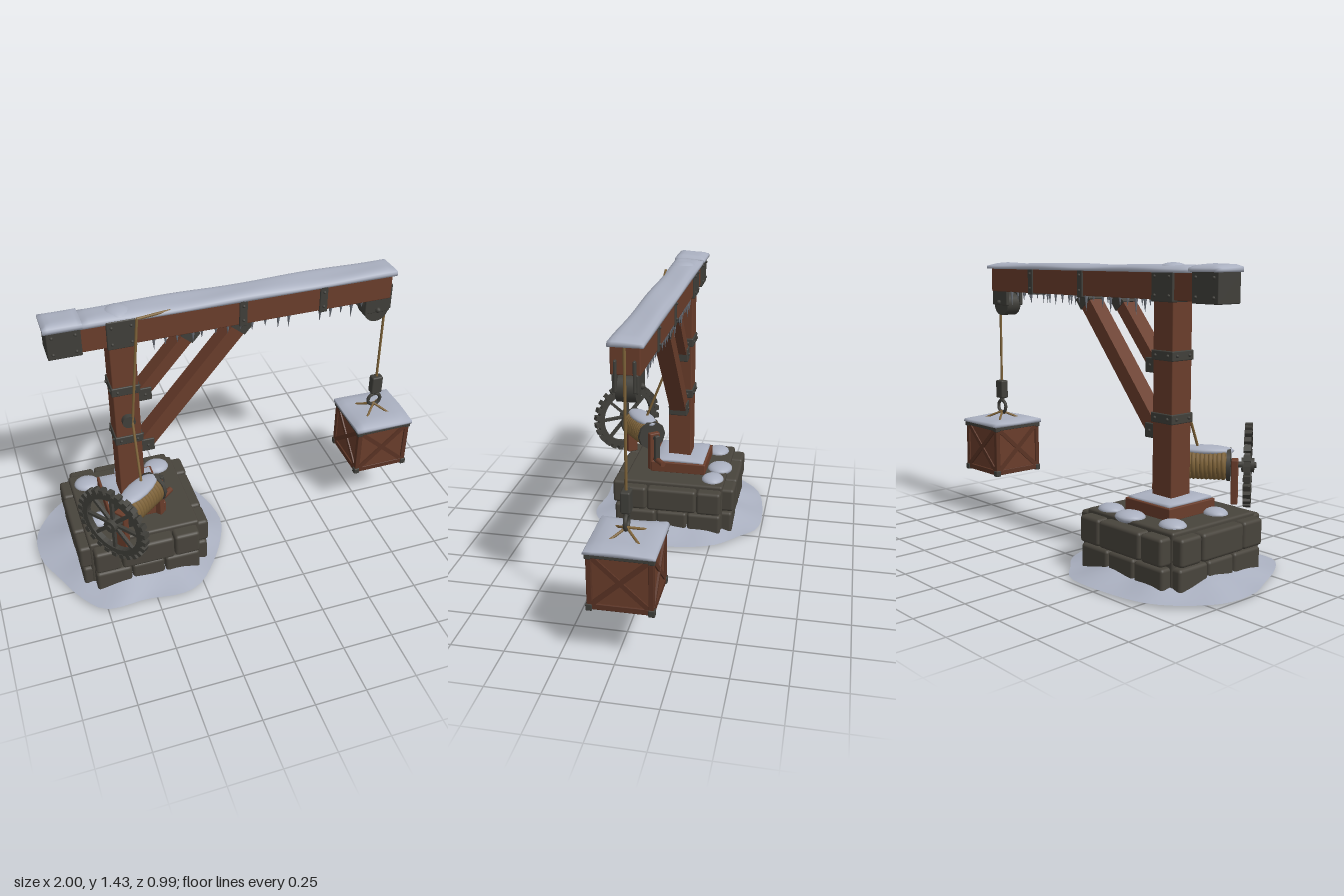
import * as THREE from 'three';
import { mergeVertices } from 'three/addons/utils/BufferGeometryUtils.js';
import { RoundedBoxGeometry } from 'three/addons/geometries/RoundedBoxGeometry.js';

const mat = (name, color, side = THREE.FrontSide) => {
  const m = new THREE.MeshStandardMaterial({ color, side });
  m.name = name;
  return m;
};
const V = (x, y, z) => new THREE.Vector3(x, y, z);
const CX = -0.505, CZ = -0.025; // post axis
const LX = 0.835; // hanging load axis

export function createModel() {
  const wood = mat('wood', 0x6a3d2b);
  const darkWood = mat('dark wood', 0x5a3324);
  const stone = mat('stone', 0x48443c);
  const iron = mat('iron', 0x403f3a);
  const rope = mat('rope', 0x7d6238);
  const snow = mat('snow', 0xaab0c0, THREE.DoubleSide);
  const ice = mat('ice', 0x70757e);

  let seed = 7;
  const rand = () => (seed = (seed * 16807) % 2147483647) / 2147483647;

  const model = new THREE.Group();
  const group = (name, x = 0, y = 0, z = 0, parent = model) => {
    const g = new THREE.Group();
    g.name = name;
    g.position.set(x, y, z);
    parent.add(g);
    return g;
  };
  const add = (parent, name, geo, material, x = 0, y = 0, z = 0) => {
    const m = new THREE.Mesh(geo, material);
    m.name = name;
    m.position.set(x, y, z);
    parent.add(m);
    return m;
  };
  // box given by its limits, with softened edges
  const block = (parent, name, material, x0, x1, y0, y1, z0, z1, r = 0.005) => add(parent, name,
    new RoundedBoxGeometry(x1 - x0, y1 - y0, z1 - z0, 2, r), material, (x0 + x1) / 2, (y0 + y1) / 2, (z0 + z1) / 2);
  // square bar or round rod between two points
  const bar = (parent, name, material, a, b, w, d = w, round = false) => {
    const len = a.distanceTo(b);
    const m = add(parent, name, round ? new THREE.CylinderGeometry(w, d, len, 10) : new THREE.BoxGeometry(w, len, d), material);
    m.position.copy(a).lerp(b, 0.5);
    m.quaternion.setFromUnitVectors(V(0, 1, 0), b.clone().sub(a).normalize());
    return m;
  };
  const bolt = (parent, x, y, z, r = 0.008) => add(parent, 'bolt', new THREE.SphereGeometry(r, 8, 6), iron, x, y, z);
  // soft wavy sheet of snow standing on y
  const snowSheet = (parent, name, x, y, z, w, h, d) => {
    const geo = new THREE.BoxGeometry(w, h, d, Math.max(8, Math.round(w * 24)), 2, 8);
    const p = geo.attributes.position;
    for (let i = 0; i < p.count; i++) {
      const u = p.getX(i), v = p.getZ(i);
      const edge = Math.min(1, Math.min(w / 2 - Math.abs(u), d / 2 - Math.abs(v)) / 0.03);
      const t = p.getY(i) / h + 0.5;
      p.setY(i, t * h * (0.55 + 0.35 * Math.sqrt(Math.max(0, edge)) + 0.1 * Math.sin(u * 9 + v * 20)));
      if (t > 0.9) p.setZ(i, v * 0.96);
    }
    geo.deleteAttribute('uv');
    geo.deleteAttribute('normal');
    const smooth = mergeVertices(geo);
    smooth.computeVertexNormals();
    return add(parent, name, smooth, snow, x, y, z);
  };
  const snowMound = (parent, x, y, z, rx, ry, rz) => {
    const m = add(parent, 'snowMound', new THREE.SphereGeometry(1, 16, 10), snow, x, y, z);
    m.scale.set(rx, ry, rz);
    return m;
  };

  // Snow drift around the base
  const outline = new THREE.CatmullRomCurve3([[-0.03, -0.02], [-0.07, 0.12], [-0.17, 0.29], [-0.28, 0.41], [-0.38, 0.44],
    [-0.55, 0.42], [-0.76, 0.42], [-0.86, 0.31], [-0.95, 0.12], [-1, 0], [-1, -0.18], [-0.93, -0.31], [-0.8, -0.43],
    [-0.62, -0.48], [-0.32, -0.48], [-0.21, -0.39], [-0.09, -0.27]].map(([x, z]) => V(x, 0, z)), true);
  const rim = outline.getSpacedPoints(56).slice(0, 56);
  const rings = [[1, 0.012], [0.88, 0.024], [0.74, 0.045], [0.58, 0.068], [0.4, 0.07]];
  const pos = [], idx = [];
  rings.forEach(([s, y], k) => rim.forEach((q, i) => {
    pos.push(CX + (q.x - CX) * s, y + (k > 0 ? 0.006 * Math.sin(i * 0.9) : 0), CZ + (q.z - CZ) * s);
    if (k < rings.length - 1) {
      const a = k * 56 + i, b = k * 56 + (i + 1) % 56;
      idx.push(a, b, a + 56, b, b + 56, a + 56);
    }
  }));
  const drift = new THREE.BufferGeometry();
  drift.setAttribute('position', new THREE.Float32BufferAttribute(pos, 3));
  drift.setIndex(idx);
  drift.computeVertexNormals();
  add(model, 'snowDrift', drift, snow);

  // Stone base: two courses of blocks round a core
  const base = group('stoneBase', CX, 0, CZ);
  block(base, 'core', stone, -0.28, 0.28, 0.004, 0.288, -0.27, 0.27, 0.012);
  for (const [y0, y1, seam, out] of [[0, 0.132, 0.085, 0.325], [0.14, 0.268, 0.135, 0.335]]) {
    for (let s = 0; s < 4; s++) {
      const side = group('blockRow', 0, 0, 0, base);
      side.rotation.y = s * Math.PI / 2;
      for (const [a, b] of [[-0.268, -seam], [-seam, seam], [seam, 0.268]])
        block(side, 'stoneBlock', stone, a + 0.002, b - 0.002, y0, y1, 0.2, out - rand() * 0.006, 0.016);
    }
  }
  for (const [x, z, r] of [[-0.7, -0.21, 0.066], [-0.47, -0.25, 0.075], [-0.32, -0.23, 0.066], [-0.69, 0.08, 0.06]])
    snowMound(model, x, 0.288, z, r, 0.028, r * 0.9);

  // Wooden footing and post
  block(model, 'footing', wood, -0.65, -0.36, 0.285, 0.345, -0.18, 0.12);
  snowSheet(model, 'footingSnow', CX, 0.343, -0.03, 0.265, 0.024, 0.275);
  block(model, 'post', wood, CX - 0.062, CX + 0.062, 0.3, 1.3, CZ - 0.062, CZ + 0.062);
  for (const y of [0.725, 1.012]) {
    const strap = group('postStrap', CX, y, CZ);
    block(strap, 'band', iron, -0.069, 0.069, -0.023, 0.023, -0.069, 0.069);
    for (const s of [-1, 1]) for (const t of [-0.04, 0.04]) {
      bolt(strap, t, 0, s * 0.07);
      bolt(strap, s * 0.07, 0, t);
    }
  }

  // Horizontal beam with iron fittings
  block(model, 'beam', wood, -0.8, 0.825, 1.26, 1.385, CZ - 0.063, CZ + 0.063);
  block(model, 'beamEndCap', iron, -0.84, -0.685, 1.252, 1.392, CZ - 0.072, CZ + 0.072);
  block(model, 'postHeadBracket', iron, CX - 0.068, CX + 0.068, 1.252, 1.395, CZ - 0.074, CZ + 0.074);
  for (const x of [0.07, 0.47]) block(model, 'beamStrap', iron, x - 0.02, x + 0.02, 1.252, 1.39, CZ - 0.07, CZ + 0.07);
  for (const s of [-1, 1]) {
    for (const x of [-0.815, -0.71, CX - 0.045, CX + 0.045]) for (const y of [1.28, 1.365]) bolt(model, x, y, CZ + s * 0.073);
    for (const x of [0.07, 0.47]) for (const y of [1.285, 1.36]) bolt(model, x, y, CZ + s * 0.07);
  }
  snowSheet(model, 'beamSnow', 0.08, 1.382, CZ - 0.005, 1.53, 0.035, 0.15);
  snowSheet(model, 'endCapSnow', -0.763, 1.388, CZ - 0.005, 0.175, 0.036, 0.162);
  snowMound(model, CX, 1.4, CZ, 0.065, 0.027, 0.065);

  // Diagonal braces with iron shoes
  for (const [x0, y0, x1, y1, w] of [[-0.43, 0.645, 0.09, 1.265, 0.075], [-0.43, 0.95, -0.16, 1.265, 0.06]]) {
    const a = V(x0, y0, CZ), b = V(x1, y1, CZ);
    bar(model, 'brace', wood, a, b, w, 0.085);
    bar(model, 'braceTopPlate', iron, a.clone().lerp(b, 1 - 0.06 / a.distanceTo(b)), b, w + 0.01, 0.096);
    block(model, 'braceShoe', iron, -0.445, -0.378, y0 - 0.025, y0 + 0.045, CZ - 0.05, CZ + 0.05);
    for (const s of [-1, 1]) bolt(model, -0.41, y0 + 0.01, CZ + s * 0.05);
  }

  // Icicles
  for (let i = 0; i < 34; i++) {
    const x = i < 25 ? -0.4 + i * 0.03 + rand() * 0.02 : 0.46 + (i - 25) * 0.027;
    const len = 0.025 + rand() * 0.06;
    const cone = add(model, 'icicle', new THREE.ConeGeometry(0.006 + len * 0.04, len, 6), ice,
      x, 1.263 - len / 2, CZ + (i % 2 ? 1 : -1) * 0.055);
    cone.rotation.x = Math.PI;
  }

  // Pulley housing at the beam tip
  for (const s of [-1, 1]) {
    block(model, 'pulleyCheek', iron, 0.7, 0.83, 1.185, 1.265, CZ + s * 0.045 - 0.01, CZ + s * 0.045 + 0.01);
    block(model, 'tipStrap', iron, 0.82, 0.842, 1.19, 1.325, CZ + s * 0.04 - 0.006, CZ + s * 0.04 + 0.006);
    bolt(model, 0.768, 1.2, CZ + s * 0.056, 0.014);
  }
  add(model, 'pulleyWheel', new THREE.CylinderGeometry(0.062, 0.062, 0.085, 24), iron, 0.768, 1.192, CZ).rotation.x = Math.PI / 2;

  // Ropes and the guide pulley on the post
  const guide = add(model, 'guidePulley', new THREE.CylinderGeometry(0.032, 0.032, 0.03, 18), iron, CX, 0.845, 0.05);
  guide.rotation.x = Math.PI / 2;
  const line = [V(-0.49, 0.53, 0.18), V(-0.488, 0.84, 0.06), V(-0.435, 1.395, 0.054), V(-0.2, 1.398, 0.02), V(LX, 1.385, CZ), V(LX, 0.75, CZ)];
  for (let i = 0; i < line.length - 1; i++) bar(model, 'hoistRope', rope, line[i], line[i + 1], 0.0065, 0.0065, true);

  // Hook block and ring
  block(model, 'hookBlock', iron, LX - 0.03, LX + 0.03, 0.66, 0.76, CZ - 0.022, CZ + 0.022, 0.008);
  bar(model, 'hookShank', iron, V(LX, 0.645, CZ), V(LX, 0.67, CZ), 0.012, 0.012, true);
  add(model, 'hookRing', new THREE.TorusGeometry(0.034, 0.009, 10, 24), iron, LX, 0.612, CZ);

  // Crate
  const crate = group('crate', LX, 0, CZ);
  const H = 0.142;
  block(crate, 'crateBody', wood, -0.138, 0.138, 0.258, 0.53, -0.138, 0.138, 0.004);
  for (let s = 0; s < 4; s++) {
    const side = group('crateSide', 0, 0, 0, crate);
    side.rotation.y = s * Math.PI / 2;
    block(side, 'bottomRail', darkWood, -H, H, 0.255, 0.283, H - 0.012, H + 0.004, 0.003);
    block(side, 'topRail', iron, -0.15, 0.15, 0.505, 0.532, H - 0.012, H + 0.008, 0.003);
    block(side, 'cornerPost', darkWood, H - 0.02, H + 0.004, 0.255, 0.53, H - 0.02, H + 0.004, 0.003);
    block(side, 'leftStile', darkWood, -H, -H + 0.022, 0.255, 0.53, H - 0.012, H + 0.003, 0.003);
    for (const t of [-1, 1]) bar(side, 'crossBrace', darkWood, V(-t * 0.125, 0.28, H - 0.001), V(t * 0.125, 0.508, H - 0.001), 0.022, 0.01 + t * 0.002);
    for (const y of [0.265, 0.515]) block(side, 'cornerIron', iron, H - 0.02, H + 0.009, y - 0.016, y + 0.016, H - 0.02, H + 0.009, 0.004);
    bar(side, 'slingRope', rope, V(0, 0.585, 0), V(0.068, 0.546, 0.068), 0.006, 0.006, true);
  }
  snowSheet(crate, 'crateSnow', 0, 0.524, 0, 0.312, 0.032, 0.312);

  // Winch: toothed wheel, rope drum and crank on one slanted shaft
  const winch = group('winch', -0.67, 0.475, 0.325);
  winch.rotation.y = 0.67;
  const rod = (name, material, x0, x1, r, y = 0) => bar(winch, name, material, V(x0, y, 0), V(x1, y, 0), r, r, true);
  rod('shaft', iron, -0.04, 0.39, 0.014);
  rod('wheelHub', iron, -0.03, 0.03, 0.034);
  const wheelRim = add(winch, 'wheelRim', new THREE.LatheGeometry([[0.148, -0.014], [0.18, -0.014], [0.18, 0.014],
    [0.148, 0.014], [0.148, -0.014]].map(([r, y]) => new THREE.Vector2(r, y)), 40).toNonIndexed(), iron);
  wheelRim.geometry.computeVertexNormals();
  wheelRim.rotation.z = Math.PI / 2;
  for (let i = 0; i < 26; i++) {
    const a = i / 26 * Math.PI * 2;
    add(winch, 'tooth', new THREE.BoxGeometry(0.034, 0.026, 0.026), iron, 0, Math.cos(a) * 0.187, Math.sin(a) * 0.187).rotation.x = a;
  }
  for (let i = 0; i < 8; i++) {
    const a = i / 8 * Math.PI * 2;
    bar(winch, 'spoke', iron, V(0, 0, 0), V(0, Math.cos(a) * 0.155, Math.sin(a) * 0.155), 0.016);
  }
  rod('drumCore', rope, 0.1, 0.31, 0.068);
  for (let i = 0; i < 10; i++)
    add(winch, 'ropeCoil', new THREE.TorusGeometry(0.065, 0.0125, 8, 28), rope, 0.115 + i * 0.02, 0, 0).rotation.y = Math.PI / 2;
  for (const x of [0.09, 0.315]) {
    rod('drumFlange', iron, x - 0.009, x + 0.009, 0.08);
    block(winch, 'winchSupport', wood, x < 0.2 ? 0.045 : 0.328, x < 0.2 ? 0.078 : 0.36, -0.19, 0.025, -0.03, 0.03);
  }
  snowMound(winch, 0.2, 0.066, 0, 0.135, 0.024, 0.055);
  block(winch, 'crankArm', iron, 0.37, 0.392, -0.135, 0.02, -0.014, 0.014);
  rod('crankHandle', wood, 0.36, 0.455, 0.015, -0.122);

  return model;
}
